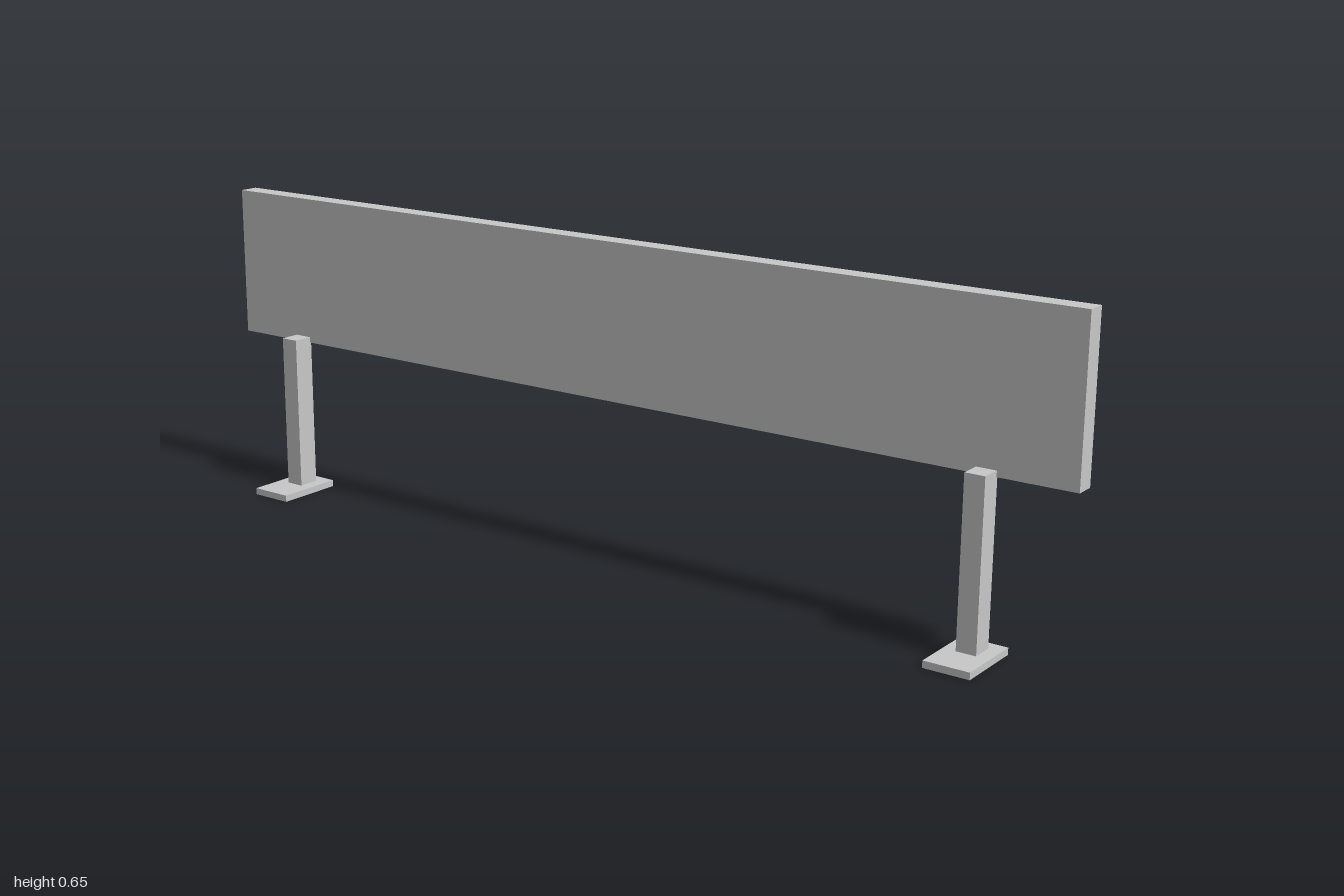
import * as THREE from 'three';

export function createModel() {
  const model = new THREE.Group();
  const grey = new THREE.MeshStandardMaterial({ color: 0xc8c8c8 });
  grey.name = 'light grey';

  // Box given by its extents along each axis
  function addBox(parent, name, [x0, x1], [y0, y1], [z0, z1]) {
    const mesh = new THREE.Mesh(new THREE.BoxGeometry(x1 - x0, y1 - y0, z1 - z0), grey);
    mesh.position.set((x0 + x1) / 2, (y0 + y1) / 2, (z0 + z1) / 2);
    mesh.name = name;
    parent.add(mesh);
  }

  // Long board with a slightly smaller raised plate on its back
  addBox(model, 'board', [-1, 1], [0.331, 0.648], [-0.073, -0.032]);
  addBox(model, 'backPlate', [-0.978, 0.978], [0.355, 0.623], [-0.083, -0.073]);

  // Two posts on foot plates
  for (const side of [-1, 1]) {
    const leg = new THREE.Group();
    leg.name = side > 0 ? 'leftLeg' : 'rightLeg';
    leg.position.x = side * 0.826;
    addBox(leg, 'post', [-0.02, 0.02], [0.014, 0.343], [-0.035, 0.011]);
    addBox(leg, 'footPlate', [-0.046, 0.046], [0, 0.014], [-0.061, 0.084]);
    model.add(leg);
  }
  return model;
}
